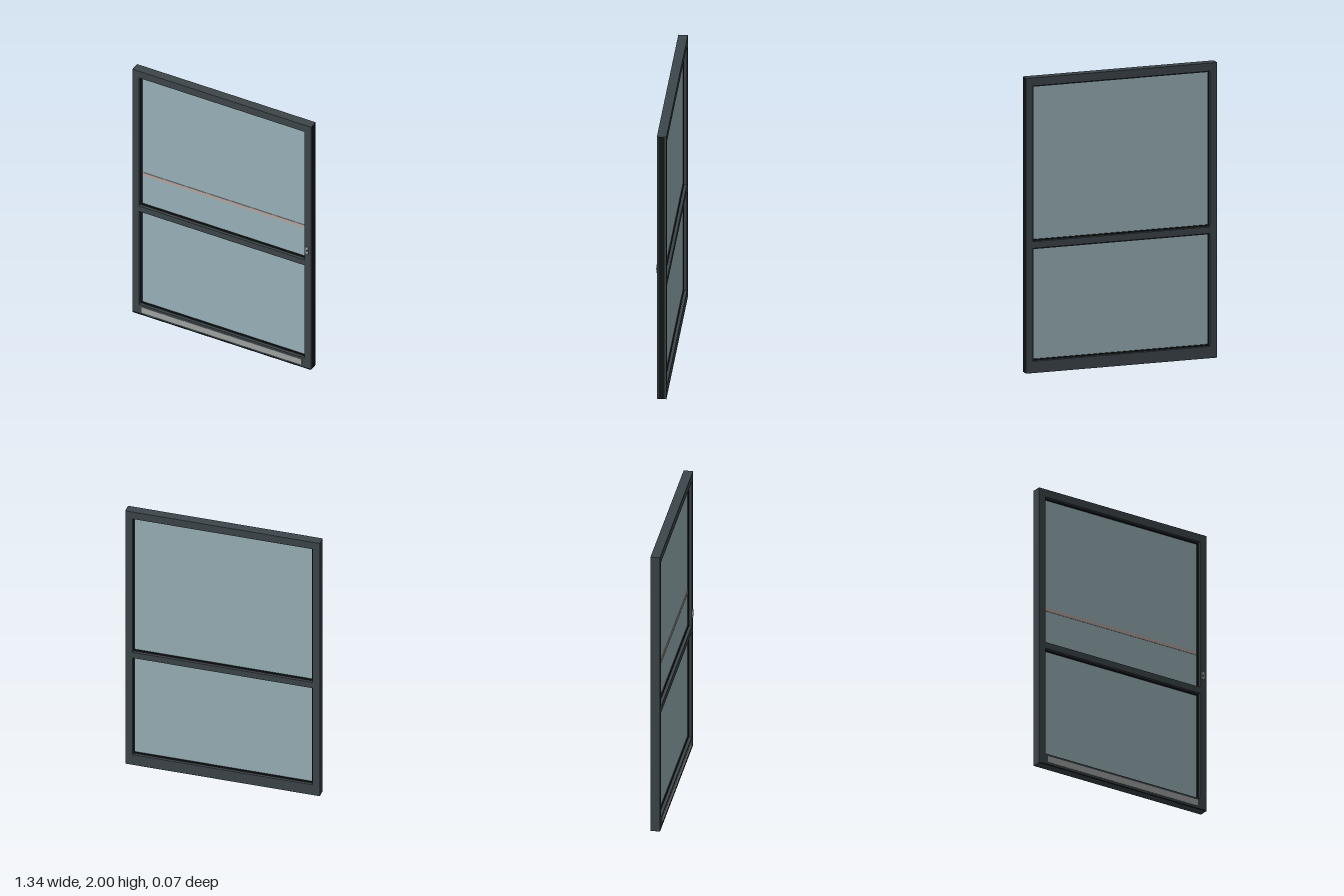
import * as THREE from 'three';

const paint = (color) => new THREE.MeshStandardMaterial({ color });
const slate = paint(0x3d464b);
const rubber = paint(0x15191a);
const glass = paint(0x9bb4bb);
const steel = paint(0xa0a5a2);
const tape = paint(0xb5a8a3);

const BACK = -0.037, FRONT = 0.026, GLASS_Z = -0.006;
const HALF_W = 0.67;
// the two glazed openings: half width, bottom and top
const openings = [
  { name: 'upper', w: 0.62, y0: 0.89, y1: 1.945 },
  { name: 'lower', w: 0.62, y0: 0.08, y1: 0.845 },
];

function rect(PathType, w, y0, y1) {
  return new PathType([
    new THREE.Vector2(-w, y0), new THREE.Vector2(w, y0),
    new THREE.Vector2(w, y1), new THREE.Vector2(-w, y1),
  ]);
}

function slab(shape, z0, z1) {
  const g = new THREE.ExtrudeGeometry(shape, { depth: z1 - z0, bevelEnabled: false });
  return g.translate(0, 0, z0);
}

export function createModel() {
  const group = new THREE.Group();
  const add = (name, geometry, material) => {
    const mesh = new THREE.Mesh(geometry, material);
    mesh.name = name;
    group.add(mesh);
    return mesh;
  };
  const box = (name, material, x0, x1, y0, y1, z0, z1) => {
    const mesh = add(name, new THREE.BoxGeometry(x1 - x0, y1 - y0, z1 - z0), material);
    mesh.position.set((x0 + x1) / 2, (y0 + y1) / 2, (z0 + z1) / 2);
    return mesh;
  };

  // one-piece frame with stiles, rails and middle bar
  const outline = rect(THREE.Shape, HALF_W - 0.001, 0, 2);
  for (const o of openings) outline.holes.push(rect(THREE.Path, o.w, o.y0, o.y1));
  add('frame', slab(outline, BACK, FRONT), slate);

  // glass panes held by rubber gaskets
  const lip = 0.01;
  for (const o of openings) {
    const ring = rect(THREE.Shape, o.w, o.y0, o.y1);
    ring.holes.push(rect(THREE.Path, o.w - lip, o.y0 + lip, o.y1 - lip));
    add(o.name + 'Gasket', slab(ring, GLASS_Z - 0.012, GLASS_Z + 0.012), rubber);
    box(o.name + 'Glass', glass, -o.w + 0.005, o.w - 0.005, o.y0 + 0.005, o.y1 - 0.005,
      GLASS_Z - 0.004, GLASS_Z + 0.004);
  }

  // safety stripe on the front of the upper pane
  box('safetyStripe', tape, -0.607, 0.607, 1.13, 1.155, GLASS_Z + 0.003, GLASS_Z + 0.007);

  // kick plate, edge seal and bottom sweep
  box('kickPlate', steel, -0.6, 0.6, 0.02, 0.065, FRONT - 0.004, FRONT + 0.003);
  box('edgeSeal', rubber, HALF_W - 0.006, HALF_W + 0.001, 0.002, 1.998, -0.024, 0.014);
  box('bottomSweep', rubber, -0.66, 0.66, 0, 0.008, FRONT - 0.004, FRONT + 0.001);

  // lock plate with a round cylinder
  box('lockPlate', steel, 0.631, 0.651, 0.95, 1.002, FRONT - 0.004, FRONT + 0.005);
  const barrel = add('lockCylinder', new THREE.CylinderGeometry(0.006, 0.006, 0.008, 20), rubber);
  barrel.rotation.x = Math.PI / 2;
  barrel.position.set(0.641, 0.976, FRONT + 0.003);
  return group;
}
